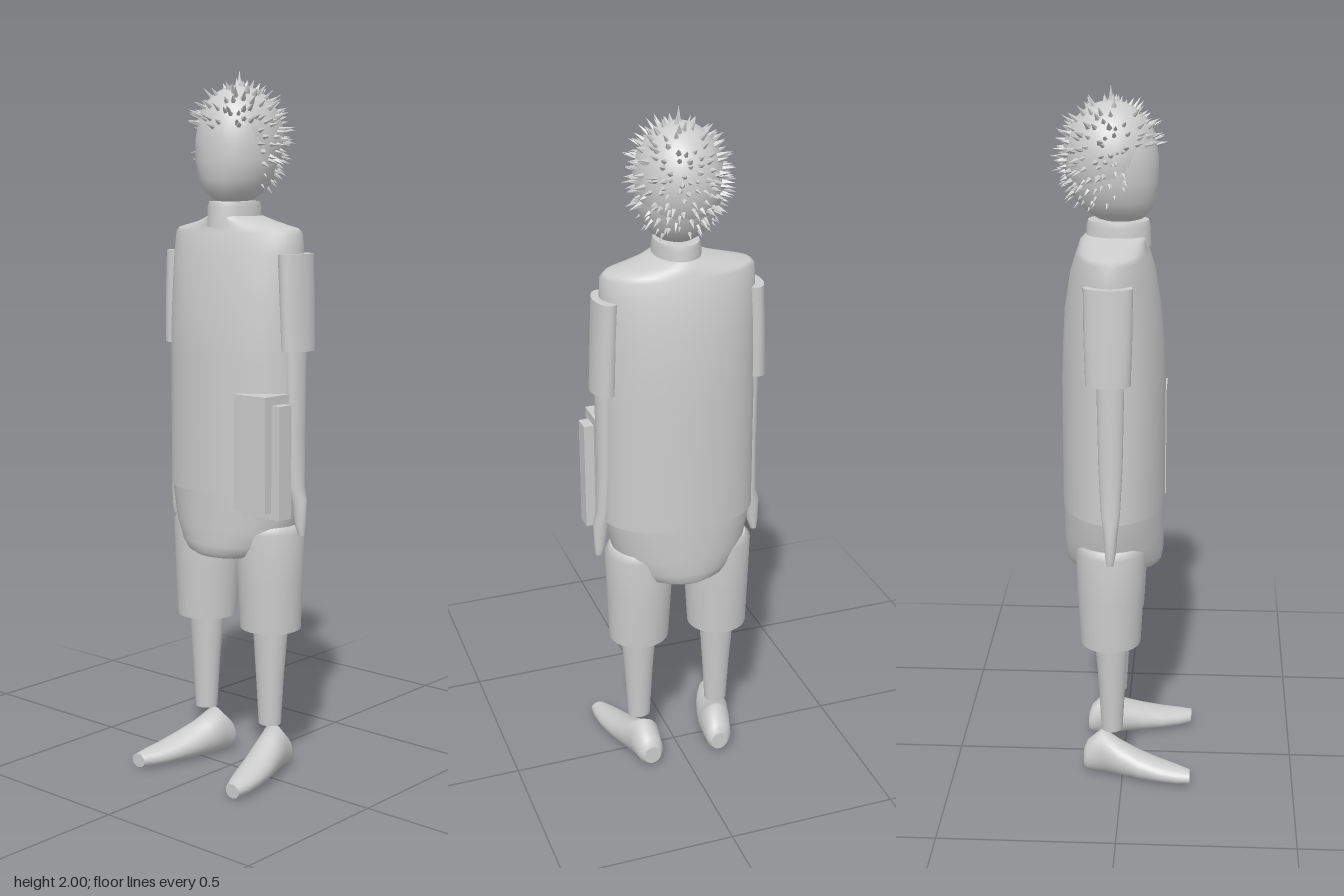
import * as THREE from 'three';
import { mergeGeometries } from 'three/addons/utils/BufferGeometryUtils.js';

const grey = new THREE.MeshStandardMaterial({ color: 0xcccccc });
grey.name = 'plain grey';

// Skin elliptical rings [y, centreX, centreZ, radiusX, radiusZ], bottom to top, with flat end caps
function loft(rings, n = 28) {
  const pos = [], idx = [];
  const addRing = ([y, cx, cz, rx, rz]) => {
    const start = pos.length / 3;
    for (let i = 0; i < n; i++) {
      const a = (i / n) * Math.PI * 2;
      pos.push(cx + rx * Math.cos(a), y, cz + rz * Math.sin(a));
    }
    return start;
  };
  const starts = rings.map(addRing);
  for (let j = 0; j < rings.length - 1; j++) {
    for (let i = 0; i < n; i++) {
      const k = (i + 1) % n, a = starts[j], b = starts[j + 1];
      idx.push(a + i, b + i, a + k, a + k, b + i, b + k);
    }
  }
  for (const top of [false, true]) {
    const r = top ? rings[rings.length - 1] : rings[0];
    const s = addRing(r), c = pos.length / 3;
    pos.push(r[1], r[0], r[2]);
    for (let i = 0; i < n; i++) {
      const k = (i + 1) % n;
      if (top) idx.push(c, s + k, s + i);
      else idx.push(c, s + i, s + k);
    }
  }
  const g = new THREE.BufferGeometry();
  g.setAttribute('position', new THREE.Float32BufferAttribute(pos, 3));
  g.setIndex(idx);
  g.computeVertexNormals();
  return g;
}

function seeded(seed) {
  return () => {
    seed = (seed * 16807) % 2147483647;
    return seed / 2147483647;
  };
}

// Lowest hair height for a direction: high over the face, low at the sides and back
function hairline(nx, nz) {
  const front = nz / (Math.hypot(nx, nz) || 1);
  return THREE.MathUtils.lerp(1.695, 1.85, THREE.MathUtils.smoothstep(front, 0.1, 0.6));
}

const SKULL = new THREE.Vector3(0, 1.81, -0.037);
const RADII = new THREE.Vector3(0.12, 0.148, 0.13);

// Thin cap whose lower edge follows the hairline
function hairCap() {
  const g = new THREE.SphereGeometry(1, 40, 20, 0, Math.PI * 2, 0, Math.PI / 2);
  const p = g.attributes.position;
  for (let i = 0; i < p.count; i++) {
    const x = p.getX(i), z = p.getZ(i);
    const t = Math.acos(THREE.MathUtils.clamp(p.getY(i), -1, 1)) / (Math.PI / 2);
    const edge = Math.acos((hairline(x, z) - SKULL.y) / RADII.y);
    const a = t * edge, f = Math.sin(a) / (Math.hypot(x, z) || 1);
    p.setXYZ(i, x * f * RADII.x, SKULL.y + Math.cos(a) * RADII.y, SKULL.z + z * f * RADII.z);
  }
  g.computeVertexNormals();
  return g;
}

// Small pyramids standing on the cap
function hairSpikes() {
  const rand = seeded(77), up = new THREE.Vector3(0, 1, 0), parts = [], count = 360;
  const spike = (dir, length, radius) => {
    const g = new THREE.ConeGeometry(radius, length, 5, 1, true).toNonIndexed();
    g.translate(0, length / 2 - 0.004, 0);
    const q = new THREE.Quaternion().setFromUnitVectors(up, dir.clone().divide(RADII).normalize());
    g.applyQuaternion(q);
    const at = dir.clone().multiply(RADII).add(SKULL);
    g.translate(at.x, at.y, at.z);
    g.computeVertexNormals();
    parts.push(g);
  };
  spike(up, 0.046, 0.008);
  for (let i = 0; i < count; i++) {
    const y = 1 - (2 * (i + 0.5)) / count, r = Math.sqrt(1 - y * y), a = i * 2.39996;
    const dir = new THREE.Vector3(r * Math.cos(a), y, r * Math.sin(a));
    const jitter = new THREE.Vector3(rand() - 0.5, rand() - 0.5, rand() - 0.5).multiplyScalar(0.18);
    const length = 0.022 + 0.02 * rand(), skip = rand();
    dir.add(jitter).normalize();
    if (SKULL.y + dir.y * RADII.y < hairline(dir.x, dir.z) - 0.01) continue;
    if (dir.y > 0.6 && skip < 0.4) continue;
    spike(dir, dir.y > 0.9 ? length * 0.85 : length, 0.006 + 0.004 * rand());
  }
  return mergeGeometries(parts);
}

export function createModel() {
  const model = new THREE.Group();
  model.name = 'standingBoy';
  const add = (name, geometry, parent = model) => {
    const m = new THREE.Mesh(geometry, grey);
    m.name = name;
    parent.add(m);
    return m;
  };

  // Body
  add('shirt', loft([
    [0.83, 0, -0.03, 0.22, 0.145],
    [1.2, 0, -0.03, 0.22, 0.145],
    [1.3, 0, -0.03, 0.22, 0.141],
    [1.4, 0, -0.032, 0.22, 0.133],
    [1.5, 0, -0.032, 0.22, 0.117],
    [1.555, 0, -0.032, 0.218, 0.1],
    [1.567, 0, -0.032, 0.205, 0.095],
    [1.585, 0, -0.03, 0.12, 0.092],
    [1.6, 0, -0.02, 0.068, 0.088],
  ], 48));
  add('shortsSeat', loft([
    [0.645, 0, -0.028, 0.12, 0.125],
    [0.655, 0, -0.028, 0.145, 0.136],
    [0.68, 0, -0.028, 0.168, 0.14],
    [0.73, 0, -0.03, 0.195, 0.142],
    [0.83, 0, -0.03, 0.215, 0.143],
  ], 48));

  // Head and hair
  add('neck', loft([
    [1.57, 0, -0.017, 0.066, 0.09],
    [1.625, 0, -0.017, 0.064, 0.087],
    [1.64, 0, -0.017, 0.06, 0.083],
  ]));
  add('head', loft([
    [1.635, 0, -0.012, 0.02, 0.03],
    [1.645, 0, -0.012, 0.05, 0.062],
    [1.665, 0, -0.017, 0.076, 0.088],
    [1.7, 0, -0.025, 0.1, 0.112],
    [1.75, 0, -0.03, 0.114, 0.122],
    [1.81, 0, -0.034, 0.117, 0.126],
    [1.87, 0, -0.037, 0.107, 0.117],
    [1.92, 0, -0.037, 0.077, 0.084],
    [1.95, 0, -0.037, 0.03, 0.033],
  ], 36));
  const hair = new THREE.Group();
  hair.name = 'hair';
  model.add(hair);
  add('hairCap', hairCap(), hair);
  add('hairSpikes', hairSpikes(), hair);

  // Arms and legs, mirrored left and right
  for (const [side, s] of [['left', 1], ['right', -1]]) {
    add(side + 'Sleeve', loft([
      [1.235, s * 0.217, -0.034, 0.036, 0.061],
      [1.37, s * 0.213, -0.034, 0.034, 0.065],
      [1.5, s * 0.207, -0.034, 0.034, 0.066],
    ]));
    add(side + 'Arm', loft([
      [0.72, s * 0.238, -0.029, 0.009, 0.009],
      [0.75, s * 0.234, -0.028, 0.016, 0.015],
      [0.82, s * 0.229, -0.028, 0.023, 0.02],
      [0.86, s * 0.222, -0.028, 0.018, 0.026],
      [1.0, s * 0.216, -0.028, 0.021, 0.033],
      [1.26, s * 0.213, -0.028, 0.025, 0.038],
    ]));
    add(side + 'ShortsLeg', loft([
      [0.435, s * 0.122, -0.034, 0.087, 0.086],
      [0.58, s * 0.12, -0.034, 0.094, 0.094],
      [0.72, s * 0.118, -0.034, 0.1, 0.1],
      [0.74, s * 0.118, -0.034, 0.085, 0.09],
    ]));
    add(side + 'Shin', loft([
      [0.15, s * 0.123, -0.031, 0.033, 0.031],
      [0.3, s * 0.123, -0.031, 0.042, 0.039],
      [0.45, s * 0.123, -0.033, 0.053, 0.049],
    ]));
    // Shoe rings run from heel to toe: [z, x, -height, half width, half height]
    const shoe = loft([
      [-0.115, s * 0.108, -0.042, 0.026, 0.028],
      [-0.105, s * 0.11, -0.051, 0.038, 0.045],
      [-0.06, s * 0.115, -0.071, 0.046, 0.069],
      [-0.01, s * 0.127, -0.056, 0.05, 0.053],
      [0.05, s * 0.145, -0.043, 0.051, 0.04],
      [0.11, s * 0.16, -0.034, 0.046, 0.031],
      [0.16, s * 0.172, -0.029, 0.037, 0.026],
      [0.2, s * 0.182, -0.027, 0.024, 0.02],
    ]);
    shoe.rotateX(Math.PI / 2);
    shoe.translate(0, -0.002, 0);
    add(side + 'Shoe', shoe);
  }

  // Book carried at the left hip
  const book = new THREE.Group();
  book.name = 'book';
  model.add(book);
  const slab = (name, x0, x1, y0, y1, z0, z1) =>
    add(name, new THREE.BoxGeometry(x1 - x0, y1 - y0, z1 - z0), book)
      .position.set((x0 + x1) / 2, (y0 + y1) / 2, (z0 + z1) / 2);
  slab('bookBody', 0.113, 0.225, 0.8, 1.12, 0.015, 0.115);
  slab('bookMiddle', 0.117, 0.253, 0.78, 1.095, 0.037, 0.088);

  return model;
}
